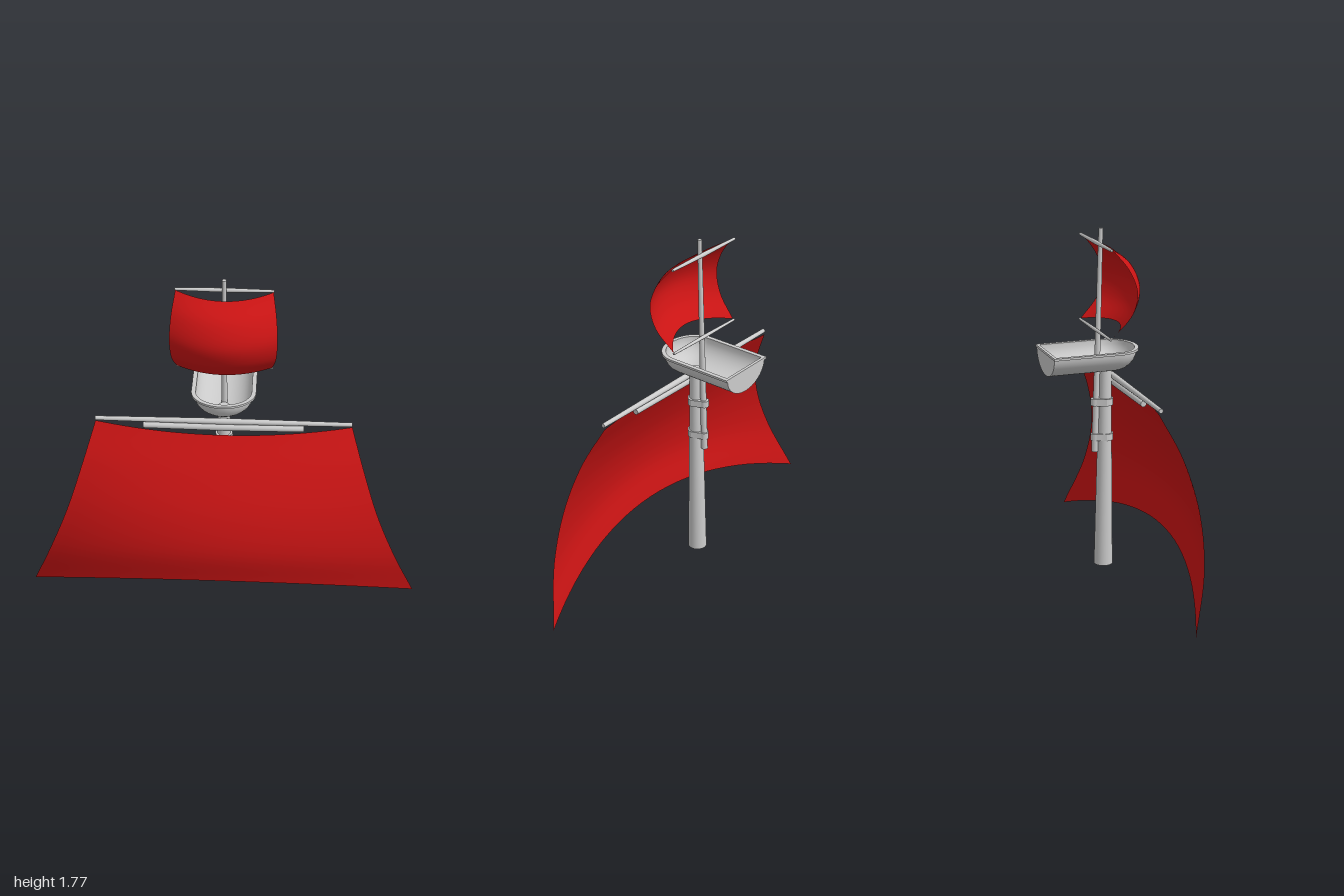
import * as THREE from 'three';

const grey = new THREE.MeshStandardMaterial({ color: 0xcccccc });
const greyThin = new THREE.MeshStandardMaterial({ color: 0xcccccc, side: THREE.DoubleSide });
const red = new THREE.MeshStandardMaterial({ color: 0xcc1414, side: THREE.DoubleSide });
const V = (x, y, z) => new THREE.Vector3(x, y, z);

function mesh(name, geometry, material = grey) {
  const m = new THREE.Mesh(geometry, material);
  m.name = name;
  return m;
}

// Tapered pole from point a (radius ra) to point b (radius rb)
function pole(name, a, b, ra, rb, sides = 20) {
  const dir = b.clone().sub(a);
  const m = mesh(name, new THREE.CylinderGeometry(rb, ra, dir.length(), sides));
  m.position.copy(a).add(b).multiplyScalar(0.5);
  m.quaternion.setFromUnitVectors(V(0, 1, 0), dir.normalize());
  return m;
}

// Horizontal spar, thickest in the middle
function yard(name, half, y, z, rMid, rEnd) {
  const g = new THREE.Group();
  g.name = name;
  for (const s of [-1, 1]) g.add(pole(name + 'Half', V(0, y, z), V(s * half, y, z), rMid, rEnd, 14));
  return g;
}

// Smooth sheet from a function of u and v, both 0..1
function sheet(fn, nu, nv) {
  const pos = [], idx = [];
  for (let j = 0; j <= nv; j++)
    for (let i = 0; i <= nu; i++) pos.push(...fn(i / nu, j / nv).toArray());
  for (let j = 0; j < nv; j++)
    for (let i = 0; i < nu; i++) {
      const a = j * (nu + 1) + i, b = a + nu + 1;
      idx.push(a, b, a + 1, b, b + 1, a + 1);
    }
  const g = new THREE.BufferGeometry();
  g.setAttribute('position', new THREE.Float32BufferAttribute(pos, 3));
  g.setIndex(idx);
  g.computeVertexNormals();
  return g;
}

// Billowing sail between a middle curve and a mirrored side curve
function sail(name, middle, side) {
  const mid = new THREE.CatmullRomCurve3(middle.map(p => V(...p)));
  const edge = new THREE.CatmullRomCurve3(side.map(p => V(...p)));
  return mesh(name, sheet((u, v) => {
    const s = u * 2 - 1, e = edge.getPoint(v);
    const p = mid.getPoint(v).lerp(e, s * s);
    p.x = s * e.x;
    return p;
  }, 28, 28), red);
}

// Strap around both masts
function band(name, y) {
  const s = new THREE.Shape();
  s.absarc(0, -0.015, 0.044, 0, Math.PI, false);
  s.absarc(0, -0.064, 0.023, Math.PI, Math.PI * 2, false);
  const g = new THREE.ExtrudeGeometry(s, { depth: 0.035, bevelEnabled: false, curveSegments: 12 });
  g.rotateX(Math.PI / 2);
  const m = mesh(name, g);
  m.position.y = y + 0.0175;
  return m;
}

// Trough with half-round section, squared stern and rounded bow
function lookout() {
  const g = new THREE.Group();
  g.name = 'lookout';
  const top = 1.175, back = -0.32, bow = 0.02;
  const shell = (w, d, l) => sheet((u, v) => {
    const a = u * Math.PI;
    const f = Math.max(0, (v - 0.2) / 0.8) * Math.PI / 2;
    const z = v < 0.2 ? back + (bow - back) * v / 0.2 : bow + l * Math.sin(f);
    return V(w * Math.cos(a) * Math.cos(f), top - d * Math.sin(a) * Math.cos(f), z);
  }, 20, 10);
  g.add(mesh('lookoutHull', shell(0.148, 0.115, 0.125), greyThin));
  g.add(mesh('lookoutLining', shell(0.138, 0.105, 0.115), greyThin));

  // stern board
  const end = new THREE.Shape();
  end.absellipse(0, 0, 0.148, 0.115, Math.PI, Math.PI * 2, false);
  const board = mesh('lookoutStern',
    new THREE.ExtrudeGeometry(end, { depth: 0.012, bevelEnabled: false, curveSegments: 20 }));
  board.position.set(0, top, back - 0.002);
  g.add(board);

  // flat rim
  const outline = (path, w, l, b) => {
    path.moveTo(-w, b);
    path.lineTo(w, b);
    path.lineTo(w, bow);
    path.absellipse(0, bow, w, l, 0, Math.PI, false);
    path.lineTo(-w, b);
    return path;
  };
  const rim = outline(new THREE.Shape(), 0.16, 0.135, back - 0.005);
  rim.holes.push(outline(new THREE.Path(), 0.138, 0.115, back + 0.01));
  const rimGeo = new THREE.ExtrudeGeometry(rim, { depth: 0.011, bevelEnabled: false, curveSegments: 20 });
  rimGeo.rotateX(Math.PI / 2);
  rimGeo.translate(0, 1.182, 0);
  g.add(mesh('lookoutRim', rimGeo));
  return g;
}

export function createModel() {
  const root = new THREE.Group();
  root.name = 'mastWithSails';

  // Masts and straps
  root.add(pole('lowerMast', V(0, 0.03, -0.022), V(0, 1.08, -0.01), 0.048, 0.03, 24));
  root.add(pole('topMast', V(0, 0.64, -0.067), V(0, 1.78, -0.033), 0.017, 0.011, 16));
  root.add(band('upperStrap', 0.9), band('lowerStrap', 0.717));
  root.add(lookout());

  // Spars
  root.add(yard('mainYard', 0.64, 1.02, 0.042, 0.016, 0.011));
  root.add(yard('mainYardBrace', 0.4, 0.988, 0.045, 0.019, 0.015));
  root.add(yard('topYard', 0.238, 1.711, -0.06, 0.011, 0.007));
  root.add(yard('topSailFootYard', 0.238, 1.274, -0.064, 0.009, 0.006));

  // Sails
  root.add(sail('mainSail',
    [[0, 0.977, 0.1], [0, 0.78, 0.21], [0, 0.58, 0.293], [0, 0.39, 0.325], [0, 0.2, 0.297]],
    [[0.64, 1.0, 0.035], [0.705, 0.8, 0.128], [0.785, 0.56, 0.183], [0.885, 0.3, 0.172], [1, 0.006, 0.085]]));
  root.add(sail('topSail',
    [[0, 1.687, 0.005], [0, 1.61, 0.1], [0, 1.5, 0.145], [0, 1.4, 0.122], [0, 1.303, 0.055]],
    [[0.235, 1.71, -0.052], [0.253, 1.61, 0.025], [0.26, 1.5, 0.063], [0.254, 1.385, 0.035], [0.235, 1.278, -0.06]]));
  return root;
}
